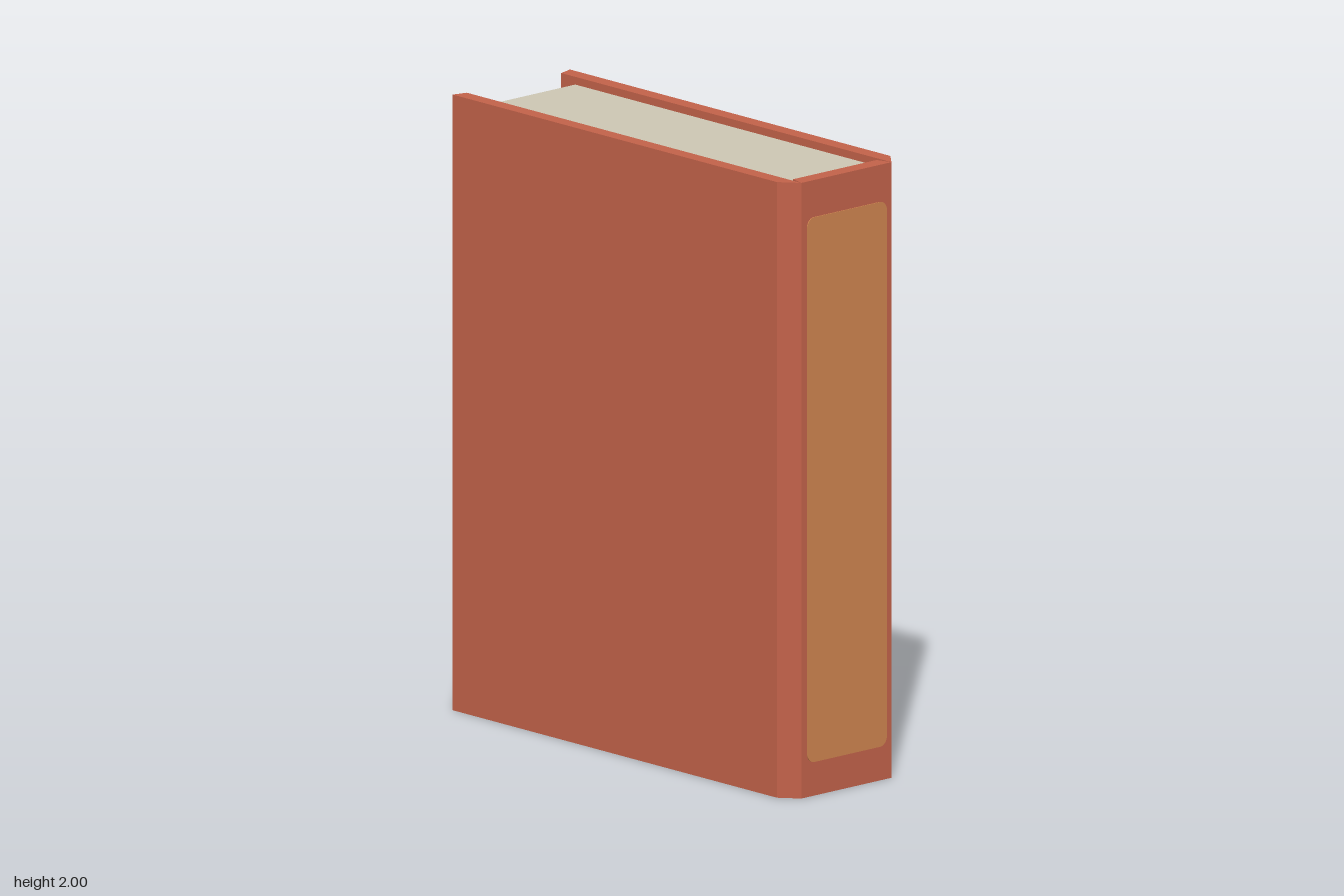
import * as THREE from 'three';

const mat = (name, color) => {
  const m = new THREE.MeshStandardMaterial({ color });
  m.name = name;
  return m;
};

// Upright prism from a footprint of [x, z] corners
function prism(name, footprint, y0, y1, material) {
  const shape = new THREE.Shape(footprint.map(([x, z]) => new THREE.Vector2(x, -z)));
  const geo = new THREE.ExtrudeGeometry(shape, { depth: y1 - y0, bevelEnabled: false });
  geo.rotateX(-Math.PI / 2).translate(0, y0, 0);
  const mesh = new THREE.Mesh(geo, material);
  mesh.name = name;
  return mesh;
}

// Thin painted plate
function plate(name, shape, material) {
  const geo = new THREE.ExtrudeGeometry(shape, { depth: 0.004, bevelEnabled: false, curveSegments: 32 });
  const mesh = new THREE.Mesh(geo, material);
  mesh.name = name;
  return mesh;
}

function roundedRect(x0, y0, x1, y1, r) {
  const s = new THREE.Shape();
  s.absarc(x1 - r, y0 + r, r, -Math.PI / 2, 0);
  s.absarc(x1 - r, y1 - r, r, 0, Math.PI / 2);
  s.absarc(x0 + r, y1 - r, r, Math.PI / 2, Math.PI);
  s.absarc(x0 + r, y0 + r, r, Math.PI, Math.PI * 1.5);
  s.closePath();
  return s;
}

export function createModel() {
  const book = new THREE.Group();
  book.name = 'book';
  const cover = mat('red cover', 0xc16149);
  const paper = mat('paper', 0xcbc5b2);
  const gold = mat('gilding', 0xcd834e);

  // Cover boards: slanted back ends, chamfered towards the spine
  book.add(prism('rightCover', [[-0.243, -0.783], [-0.243, 0.72], [-0.194, 0.78], [-0.194, -0.77]], 0, 2, cover));
  book.add(prism('leftCover', [[0.243, -0.765], [0.192, -0.75], [0.192, 0.78], [0.243, 0.72]], 0, 2, cover));

  // Spine board with mitred ends
  book.add(prism('spine', [[-0.194, 0.78], [0.192, 0.78], [0.177, 0.728], [-0.181, 0.728]], 0, 2, cover));

  // Page block, recessed at top, bottom and back
  book.add(prism('pages', [[-0.194, -0.685], [-0.194, 0.73], [0.192, 0.73], [0.192, -0.685]], 0.025, 1.975, paper));

  // Gilded panel on the spine
  const panel = plate('spinePanel', roundedRect(-0.17, 0.11, 0.17, 1.88, 0.03), gold);
  panel.position.z = 0.779;
  book.add(panel);

  // Gilded oval ring on the left cover
  const oval = new THREE.Shape();
  oval.absellipse(0, 0, 0.355, 0.38, 0, Math.PI * 2);
  const hole = new THREE.Path();
  hole.absellipse(0, 0, 0.276, 0.302, 0, Math.PI * 2, true);
  oval.holes.push(hole);
  const ring = plate('coverRing', oval, gold);
  ring.rotation.y = Math.PI / 2;
  ring.position.set(0.242, 1.31, 0.03);
  book.add(ring);

  return book;
}
